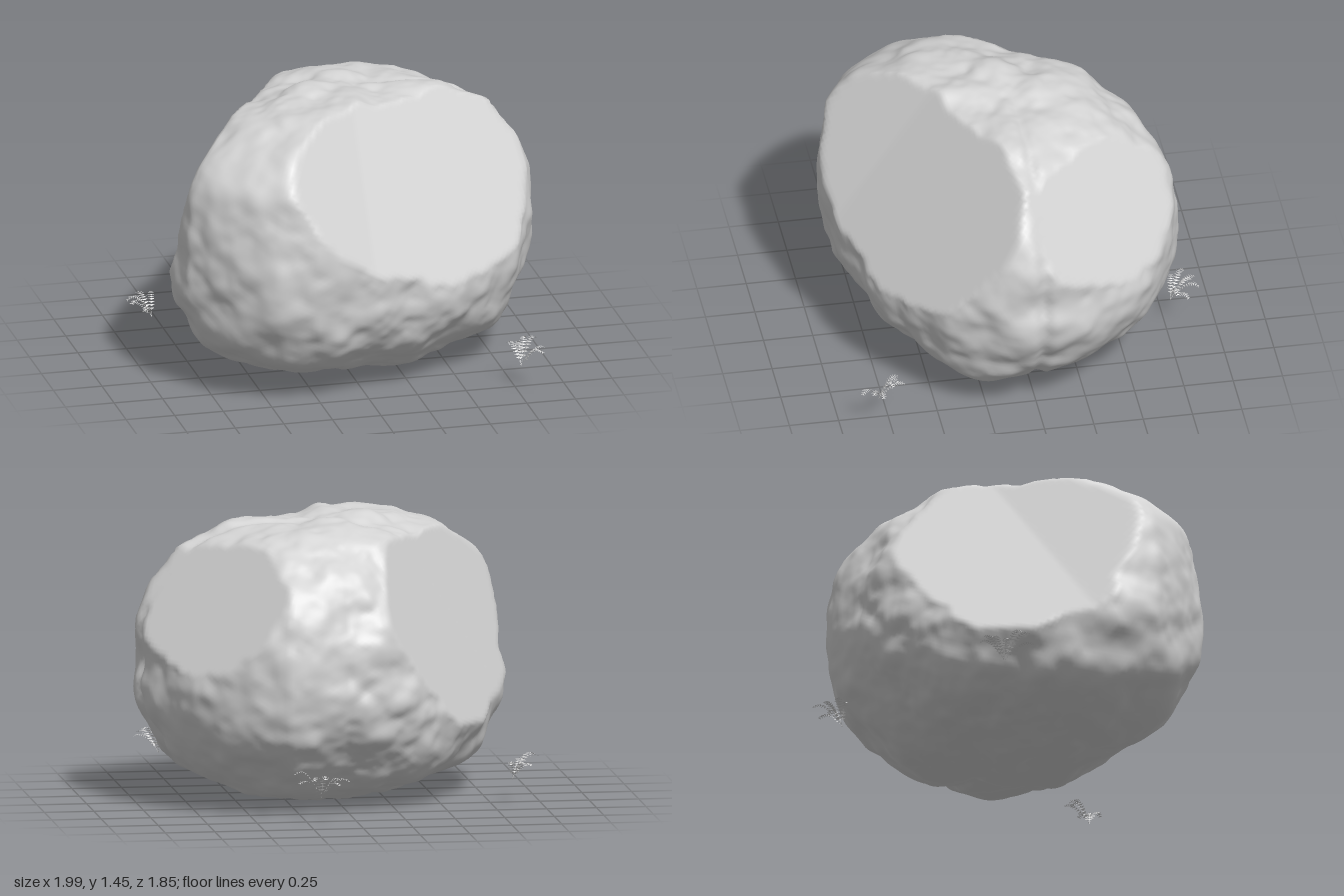
import * as THREE from 'three';
import { mergeVertices } from 'three/addons/utils/BufferGeometryUtils.js';

// Double sided because the fern leaflets are open triangles
const stone = new THREE.MeshStandardMaterial({ color: 0xd3d3d3, side: THREE.DoubleSide });
stone.name = 'pale grey';

// Smooth 3D value noise in -1..1
function hash(x, y, z) {
  const s = Math.sin(x * 127.1 + y * 311.7 + z * 74.7) * 43758.5453;
  return (s - Math.floor(s)) * 2 - 1;
}
function noise(x, y, z) {
  const [i, j, k] = [x, y, z].map(Math.floor);
  const [u, v, w] = [x - i, y - j, z - k].map(t => t * t * (3 - 2 * t));
  let sum = 0;
  for (let a = 0; a < 2; a++) for (let b = 0; b < 2; b++) for (let c = 0; c < 2; c++) {
    sum += hash(i + a, j + b, k + c) * (a ? u : 1 - u) * (b ? v : 1 - v) * (c ? w : 1 - w);
  }
  return sum;
}

const centre = new THREE.Vector3(0.03, 0.72, 0.05);

// Plan outline (x, z) of the boulder, stored as angle and radius
const outline = [
  [-0.87, 0.5], [-0.9, 0.25], [-0.81, 0], [-0.74, -0.17], [-0.42, -0.55], [-0.2, -0.67], [0.03, -0.74],
  [0.34, -0.79], [0.56, -0.68], [0.77, -0.5], [0.9, -0.3], [0.96, -0.1], [0.98, 0.03], [0.96, 0.22],
  [0.82, 0.45], [0.55, 0.66], [0.2, 0.81], [-0.1, 0.88], [-0.3, 0.91], [-0.5, 0.87], [-0.7, 0.73],
].map(([x, z]) => ({ a: Math.atan2(z - centre.z, x - centre.x), r: Math.hypot(x - centre.x, z - centre.z) }))
  .sort((p, q) => p.a - q.a);

function planRadius(angle) {
  const n = outline.length;
  let i = outline.findIndex(p => p.a > angle);
  if (i < 0) i = n;
  const p = outline[(i + n - 1) % n], q = outline[i % n];
  const a0 = i === 0 ? p.a - Math.PI * 2 : p.a;
  const a1 = i === n ? q.a + Math.PI * 2 : q.a;
  return THREE.MathUtils.lerp(p.r, q.r, (angle - a0) / (a1 - a0));
}

// Cleaved faces: normal and distance of each plane; paired planes meet in a shallow valley
const cuts = [
  [[0.55, 0.68, 1, 1.365], [0.66, 0.68, 1, 1.365]],            // front left
  [[0.8, 0.58, -0.6, 1.335]],                                  // back left
  [[-0.85, 0.35, -0.5, 0.833], [-0.85, 0.306, -0.61, 0.793]],  // back right
].map(planes => planes.map(([x, y, z, d]) => ({ n: new THREE.Vector3(x, y, z), d })));

// Distance from the centre to a plane along a direction
function reach({ n, d }, dir) {
  const along = n.dot(dir);
  return along > 0 ? (d - n.dot(centre)) / along : Infinity;
}

function boulderGeometry() {
  let geo = new THREE.IcosahedronGeometry(1, 48);
  geo.deleteAttribute('uv');
  geo.deleteAttribute('normal');
  geo = mergeVertices(geo, 1e-5);
  const pos = geo.attributes.position;
  const d = new THREE.Vector3();
  for (let i = 0; i < pos.count; i++) {
    d.fromBufferAttribute(pos, i).normalize();
    // Rounded-block radius from plan outline and height, squarer towards the front top and the ends' foot
    const R = planRadius(Math.atan2(d.z, d.x));
    const e = d.y > 0 ? 2.6 + (d.z > 0 ? 0.7 : 0.35) * d.z : 2.4 + 0.4 * Math.abs(d.x) + 0.2 * d.z;
    let r = Math.pow(Math.pow(Math.hypot(d.x, d.z) / R, e) + Math.pow(Math.abs(d.y) / 0.705, e), -1 / e);
    // Lumps and fine roughness
    r += 0.03 * noise(d.x * 4 + 9, d.y * 5, d.z * 4) + 0.013 * noise(d.x * 9, d.y * 10 + 5, d.z * 9)
      + 0.004 * noise(d.x * 20, d.y * 20, d.z * 20 + 3);
    // Shallow vertical groove on the left end
    if (d.x > 0) r -= 0.028 * Math.exp(-Math.pow((d.z + 0.06) / 0.035, 2)) * d.x;
    for (const planes of cuts) r = Math.min(r, Math.max(...planes.map(p => reach(p, d))));
    d.multiplyScalar(r).add(centre);
    pos.setXYZ(i, d.x, Math.max(0, d.y), d.z);
  }
  geo.computeVertexNormals();
  return geo;
}

// One fern: arching fronds fanned about a heading, each with paired leaflets
function fernGeometry(heading, seed) {
  const verts = [];
  const tri = (...pts) => pts.forEach(p => verts.push(p.x, p.y, p.z));
  const fronds = 7, steps = 13;
  for (let f = 0; f < fronds; f++) {
    const h = hash(f, seed, 1);
    const a = heading + (f / (fronds - 1) - 0.5) * 2.9 + h * 0.12;
    const out = new THREE.Vector3(Math.cos(a), 0, Math.sin(a));
    const side = new THREE.Vector3(-out.z, 0, out.x);
    const len = 0.13 + 0.035 * hash(f, seed, 2);
    const rise = 0.11 + 0.03 * hash(f, seed, 4);
    const at = t => out.clone().multiplyScalar(len * t).setY(rise * Math.sin(t * 2.1));
    for (let s = 0; s < steps; s++) {
      const t = s / steps, p = at(t), q = at(t + 1 / steps);
      const w = side.clone().multiplyScalar(0.0012);
      // Stem segment
      tri(p.clone().sub(w), p.clone().add(w), q);
      if (s < 2) continue;
      // Leaflet pair
      const size = 0.022 * Math.sin(Math.PI * Math.pow(1 - t, 0.7) * 0.85 + 0.15);
      const mid = p.clone().lerp(q, 0.6);
      for (const sign of [-1, 1]) {
        const tip = mid.clone().addScaledVector(side, sign * size).addScaledVector(out, size * 0.3);
        tip.y -= size * 0.15;
        tri(p, mid, tip);
      }
    }
  }
  const geo = new THREE.BufferGeometry();
  geo.setAttribute('position', new THREE.Float32BufferAttribute(verts, 3));
  geo.computeVertexNormals();
  return geo;
}

export function createModel() {
  const model = new THREE.Group();
  model.name = 'boulderWithFerns';

  const boulder = new THREE.Mesh(boulderGeometry(), stone);
  boulder.name = 'boulder';
  model.add(boulder);

  // Ferns around the foot: x, y, z, heading
  [
    ['fernRight', -0.85, 0.125, -0.33, Math.atan2(-0.3, -0.8)],
    ['fernBack', 0.18, 0.125, -0.78, -Math.PI / 2],
    ['fernFront', 0.77, 0.125, 0.8, Math.atan2(-0.5, 0.8)],
  ].forEach(([name, x, y, z, heading], i) => {
    const fern = new THREE.Mesh(fernGeometry(heading, i + 1), stone);
    fern.name = name;
    fern.position.set(x, y, z);
    model.add(fern);
  });
  return model;
}
